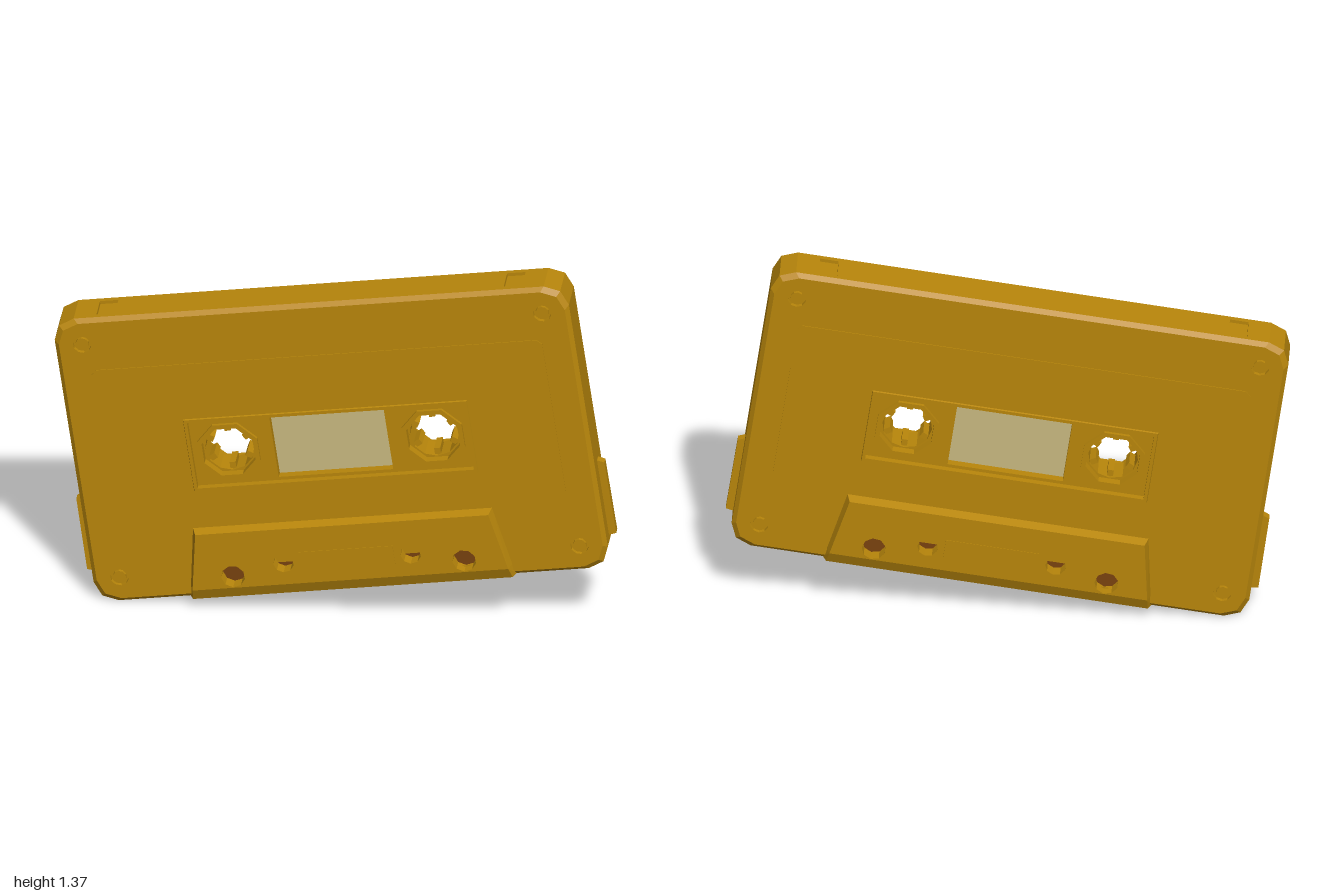
import * as THREE from 'three';
import { ConvexGeometry } from 'three/addons/geometries/ConvexGeometry.js';

const material = (color) => new THREE.MeshStandardMaterial({ color, flatShading: true });
const shellMat = material(0xb8860b);
const glassMat = material(0xc8b880);
const tapeMat = material(0x6b3a0c);

const HW = 0.93, HH = 0.569, R = 0.08; // shell half width, half height, corner radius
const REEL_X = 0.37;
const PINS = [[-0.418, -0.48, 0.043], [-0.23, -0.44, 0.037], [0.23, -0.44, 0.037], [0.418, -0.48, 0.043]];

const vec = (p) => new THREE.Vector2(p[0], p[1]);
const rect = (w, h, cy = 0) => [[-w, cy - h], [w, cy - h], [w, cy + h], [-w, cy + h]].map(vec);
const ngon = (x, y, r, n = 8, start = Math.PI / 8) => Array.from({ length: n }, (_, i) => {
  const a = start + (i / n) * Math.PI * 2;
  return new THREE.Vector2(x + r * Math.cos(a), y + r * Math.sin(a));
});

// Shell outline, optionally with the two top notches and the tape cavity at the bottom
function outline({ notches = false, cavity = false } = {}) {
  const pts = [];
  if (cavity) pts.push([-0.5, -HH], [-0.5, -0.39], [0.5, -0.39], [0.5, -HH]);
  const corner = (sx, sy, from) => {
    for (let i = 0; i <= 2; i++) {
      const a = from + (i * Math.PI) / 4;
      pts.push([sx * (HW - R) + R * Math.cos(a), sy * (HH - R) + R * Math.sin(a)]);
    }
  };
  corner(1, -1, -Math.PI / 2);
  corner(1, 1, 0);
  if (notches) {
    for (const x of [0.77, -0.703]) {
      pts.push([x, HH], [x, HH - 0.012], [x - 0.067, HH - 0.012], [x - 0.067, HH]);
    }
  }
  corner(-1, 1, Math.PI / 2);
  corner(-1, -1, Math.PI);
  return pts.map(vec);
}

// Flat plate between z0 and z1; the rule may move the front vertices to form a chamfer
function plate(name, points, holes, z0, z1, rule) {
  const shape = new THREE.Shape(points);
  shape.holes = holes.map((h) => new THREE.Path(h));
  const geo = new THREE.ExtrudeGeometry(shape, { depth: z1 - z0, bevelEnabled: false });
  geo.translate(0, 0, z0);
  if (rule) {
    const p = geo.attributes.position;
    for (let i = 0; i < p.count; i++) {
      if (p.getZ(i) > z1 - 1e-4) p.setXY(i, ...rule(p.getX(i), p.getY(i)));
    }
    geo.computeVertexNormals();
  }
  return named(name, geo);
}

function named(name, geo, mat = shellMat) {
  const mesh = new THREE.Mesh(geo, mat);
  mesh.name = name;
  return mesh;
}

function box(name, w, h, d, x, y, z, mat = shellMat) {
  const mesh = named(name, new THREE.BoxGeometry(w, h, d), mat);
  mesh.position.set(x, y, z);
  return mesh;
}

// Everything on one face, from the middle plane outwards
function buildHalf(name) {
  const half = new THREE.Group();
  half.name = name;
  const reels = [-REEL_X, REEL_X].map((x) => ngon(x, 0, 0.115));
  const pinHoles = PINS.map(([x, y, r]) => ngon(x, y, r, 9));
  const screws = [[-1, -1], [1, -1], [1, 1], [-1, 1]].map(([a, b]) => [a * 0.832, b * 0.47]);
  const recess = rect(0.5, 0.132);
  const pane = rect(0.207, 0.12);

  // Shell layers
  half.add(plate('shellCore', outline({ notches: true, cavity: true }), [...reels, pane], 0, 0.05));
  half.add(plate('shellWall', outline({ cavity: true }), [...reels, pane], 0.05, 0.07));
  half.add(plate('shellFace', outline(),
    [recess, ...pinHoles, ...screws.map(([x, y]) => ngon(x, y, 0.033, 10))], 0.07, 0.085,
    (x, y) => (Math.abs(x) > 0.9 || Math.abs(y) > 0.55 ? [x * (1 - 0.015 / HW), y * (1 - 0.015 / HH)] : [x, y])));

  // Label panel and raised rim around the reels
  const w = 0.815, top = 0.365, bot = -0.27, c = 0.018;
  half.add(plate('labelPanel', [[-w + c, bot], [w - c, bot], [w, bot + c], [w, top - c],
    [w - c, top], [-w + c, top], [-w, top - c], [-w, bot + c]].map(vec), [rect(0.51, 0.14)], 0.085, 0.088));
  half.add(plate('windowRim', rect(0.517, 0.148), [recess], 0.08, 0.094,
    (x, y) => (Math.abs(x) > 0.51 ? [x * 0.99, y * 0.97] : [x, y])));

  // Screws sunk into the corners
  for (const [x, y] of screws) {
    const screw = named('screw', new THREE.CylinderGeometry(0.024, 0.024, 0.014, 10));
    screw.rotation.x = Math.PI / 2;
    screw.position.set(x, y, 0.075);
    half.add(screw);
  }

  // Octagonal collars and toothed hubs
  for (const x of [-REEL_X, REEL_X]) {
    half.add(plate('reelCollar', ngon(x, 0, 0.118), [ngon(x, 0, 0.1)], 0, 0.082));
    half.add(plate('reelHub', ngon(x, 0, 0.108), [ngon(x, 0, 0.089, 12, 0)], 0, 0.05));
    for (let i = 0; i < 6; i++) {
      const a = Math.PI / 2 + (i * Math.PI) / 3;
      const tooth = box('hubTooth', 0.03, 0.022, 0.04,
        x + 0.078 * Math.cos(a), 0.078 * Math.sin(a), 0.02);
      tooth.rotation.z = a;
      half.add(tooth);
    }
  }

  // Window pane
  half.add(box('windowPane', 0.414, 0.24, 0.006, 0, 0, 0.036, glassMat));

  // Thick lower block with a bevelled upper edge and a chamfered foot
  half.add(plate('headBlock', [[-0.583, -0.525], [0.583, -0.525], [0.542, -0.292], [-0.542, -0.292]].map(vec),
    pinHoles, 0.08, 0.12, (x, y) => {
      const nx = Math.abs(x) > 0.5 ? x - Math.sign(x) * 0.012 : x;
      return [nx, y > -0.3 ? y - 0.012 : y];
    }));
  const foot = [];
  for (const s of [-1, 1]) {
    for (const [x, y, z] of [[0.583, -0.525, 0.072], [0.571, -0.525, 0.12],
      [0.59, -HH, 0.07], [0.578, -HH, 0.1]]) foot.push(new THREE.Vector3(s * x, y, z));
  }
  half.add(named('headBlockFoot', new ConvexGeometry(foot)));
  half.add(box('headBlockStrip', 0.34, 0.08, 0.004, 0, -0.44, 0.12));
  return half;
}

export function createModel() {
  const model = new THREE.Group();
  model.name = 'cassette';
  const body = new THREE.Group();
  body.name = 'cassetteBody';

  const back = buildHalf('backHalf');
  back.rotation.y = Math.PI;
  body.add(buildHalf('frontHalf'), back);

  for (const s of [-1, 1]) {
    // Ribs between the openings along the bottom
    for (const [x, w] of [[0.14, 0.04], [0.28, 0.04], [0.48, 0.04]]) {
      body.add(box('openingRib', w, 0.03, 0.14, s * x, -HH + 0.015, 0));
    }
    // Wedge-ended rail on each side
    const rail = [[0.92, -0.165], [0.955, -0.18], [0.957, -0.465], [0.92, -0.472]];
    const pts = rail.flatMap(([x, y]) => [-0.015, 0.015].map((z) => new THREE.Vector3(s * x, y, z)));
    body.add(named('sideRail', new ConvexGeometry(pts)));
  }

  // Tape running behind the bottom openings
  body.add(box('tape', 1, 0.006, 0.12, 0, -0.532, 0, tapeMat));

  body.rotation.z = 0.143;
  body.position.set(-0.012, 0.686, 0);
  model.add(body);
  return model;
}
